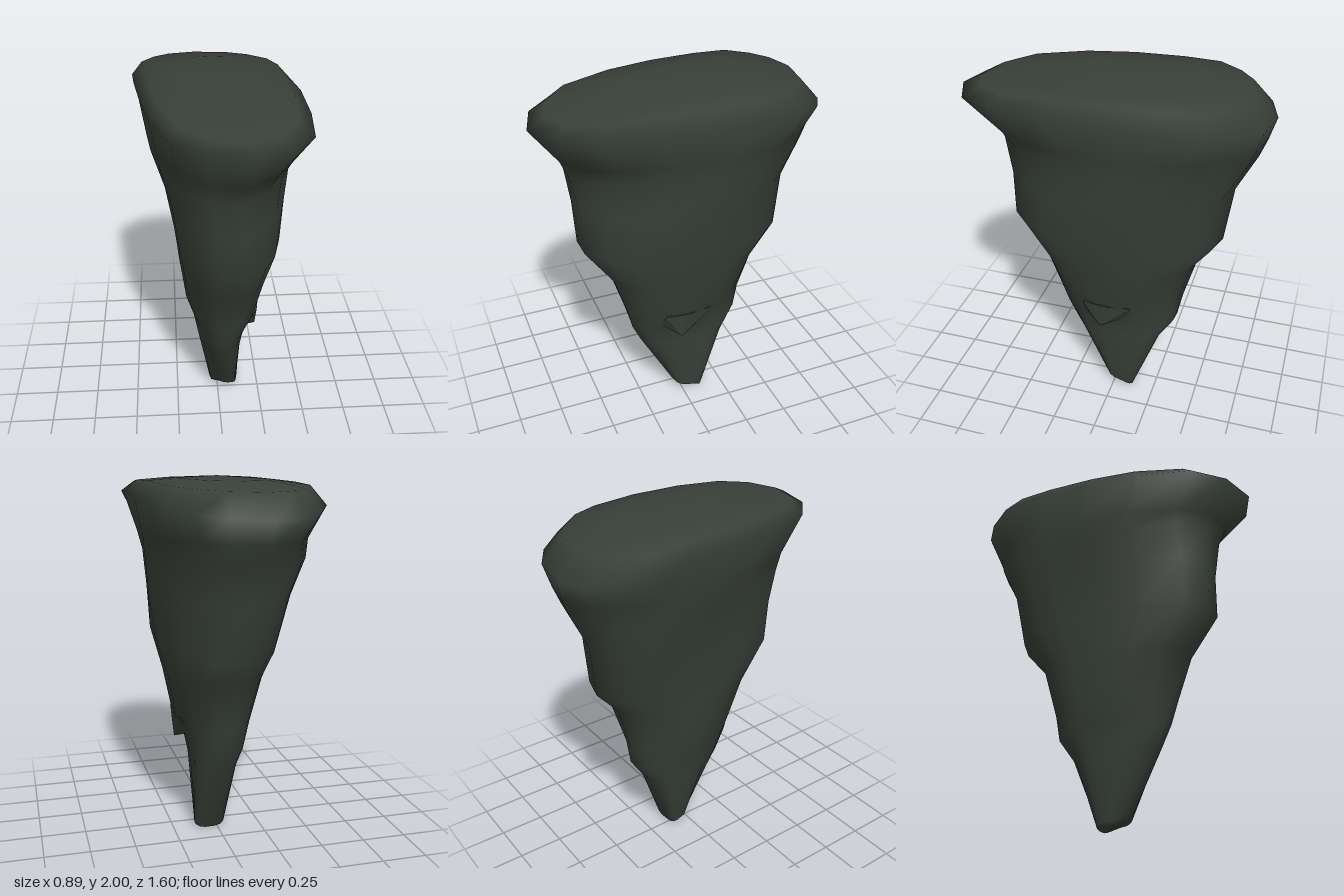
import * as THREE from 'three';
import { ConvexGeometry } from 'three/addons/geometries/ConvexGeometry.js';

// Outline of the widest rim (x, z), starting at the back and passing the left side
const RIM = [
  [-0.1, -0.8], [0.12, -0.76], [0.25, -0.68], [0.37, -0.54], [0.42, -0.38], [0.445, -0.09],
  [0.445, 0.25], [0.415, 0.55], [0.315, 0.72], [0.13, 0.8], [-0.09, 0.74], [-0.25, 0.59],
  [-0.35, 0.29], [-0.4, 0], [-0.435, -0.3], [-0.45, -0.52], [-0.37, -0.66], [-0.27, -0.75],
];

// Cross-sections from the top down. box: x min, x max, z min, z max. share: how much of the
// rim shape is kept. lift: rise at front and back. corners: how far the front left,
// back left, front right and back right corners bulge.
const RINGS = [
  { y: 1.99, box: [-0.22, 0.22, -0.45, 0.4], share: 1, lift: [-0.02, -0.01], corners: [0, 0, 0, 0] },
  { y: 1.975, box: [-0.39, 0.37, -0.69, 0.71], share: 1, lift: [-0.035, -0.04], corners: [0, 0, 0, 0] },
  { y: 1.9, box: [-0.45, 0.445, -0.8, 0.8], share: 1, lift: [0, -0.09], corners: [0, 0, 0, 0] },
  { y: 1.7, box: [-0.41, 0.415, -0.78, 0.68], share: 0.8, lift: [0, 0], corners: [-0.05, -0.05, -0.02, -0.03] },
  { y: 1.6, box: [-0.385, 0.405, -0.735, 0.65], share: 0.7, lift: [0, 0], corners: [-0.08, -0.05, -0.02, 0] },
  { y: 1.4, box: [-0.305, 0.38, -0.62, 0.61], share: 0.5, lift: [0, 0], corners: [-0.07, -0.05, 0, 0.045] },
  { y: 1.15, box: [-0.255, 0.345, -0.585, 0.59], share: 0.4, lift: [0, -0.06], corners: [-0.03, -0.035, 0.015, 0.035] },
  { y: 0.92, box: [-0.225, 0.275, -0.465, 0.42], share: 0.3, lift: [0, 0.03], corners: [0, -0.01, 0, 0.01] },
  { y: 0.67, box: [-0.19, 0.235, -0.395, 0.345], share: 0.3, lift: [0, 0], corners: [-0.02, -0.045, -0.02, -0.015] },
  { y: 0.54, box: [-0.145, 0.165, -0.36, 0.31], share: 0.3, lift: [0, -0.02], corners: [-0.01, 0, -0.03, 0] },
  { y: 0.42, box: [-0.12, 0.135, -0.265, 0.25], share: 0.3, lift: [0, -0.03], corners: [0, 0.03, -0.03, 0] },
  { y: 0.035, box: [-0.04, 0.115, -0.11, 0.055], share: 0.3, lift: [0.035, -0.035], corners: [0, 0.035, -0.03, 0.02] },
];

function buildRock() {
  const n = RIM.length, pos = [], index = [];
  for (const { y, box: [x0, x1, z0, z1], share, lift, corners } of RINGS) {
    for (const [rx, rz] of RIM) {
      let u = rx / 0.4475, v = rz / 0.8;
      // Blend from the rim outline towards a plain ellipse
      const len = Math.hypot(u, v);
      u = THREE.MathUtils.lerp(u / len, u, share);
      v = THREE.MathUtils.lerp(v / len, v, share);
      // Push the nearest corner in or out along its diagonal
      const bulge = corners[(u > 0 ? 0 : 2) + (v > 0 ? 0 : 1)] * Math.SQRT2 * Math.abs(u * v);
      pos.push(
        (x0 + x1) / 2 + u * (x1 - x0) / 2 + Math.sign(u) * bulge,
        y + lift[v > 0 ? 0 : 1] * v * v,
        (z0 + z1) / 2 + v * (z1 - z0) / 2 + Math.sign(v) * bulge,
      );
    }
  }
  // Close the top and the tip
  const top = pos.length / 3, bottom = top + 1;
  pos.push(0, 2, -0.1, 0.04, 0.03, -0.03);
  for (let i = 0; i < n; i++) {
    const j = (i + 1) % n, last = (RINGS.length - 1) * n;
    index.push(top, j, i, bottom, last + i, last + j);
    for (let r = 0; r < RINGS.length - 1; r++) {
      const a = r * n + i, b = r * n + j;
      index.push(a, b, b + n, a, b + n, a + n);
    }
  }
  const geo = new THREE.BufferGeometry();
  geo.setAttribute('position', new THREE.Float32BufferAttribute(pos, 3));
  geo.setIndex(index);
  geo.computeVertexNormals();
  return geo;
}

export function createModel() {
  const group = new THREE.Group();
  group.name = 'floatingRock';
  const stone = new THREE.MeshStandardMaterial({ color: 0x38403a });
  stone.name = 'darkStone';

  const rock = new THREE.Mesh(buildRock(), stone);
  rock.name = 'rockBody';
  group.add(rock);

  // Pointed overhang low on the left side
  const points = [
    [0.236, 0.68, 0.02], [0.215, 0.68, 0.15], [0.215, 0.68, -0.13], [0.215, 0.52, 0.05],
    [0.16, 0.59, 0.16], [0.16, 0.59, -0.12], [0.165, 0.56, 0.05], [0.12, 0.68, 0.03],
  ].map((p) => new THREE.Vector3(...p));
  const ledge = new THREE.Mesh(new ConvexGeometry(points), stone);
  ledge.name = 'chippedLedge';
  group.add(ledge);

  return group;
}
